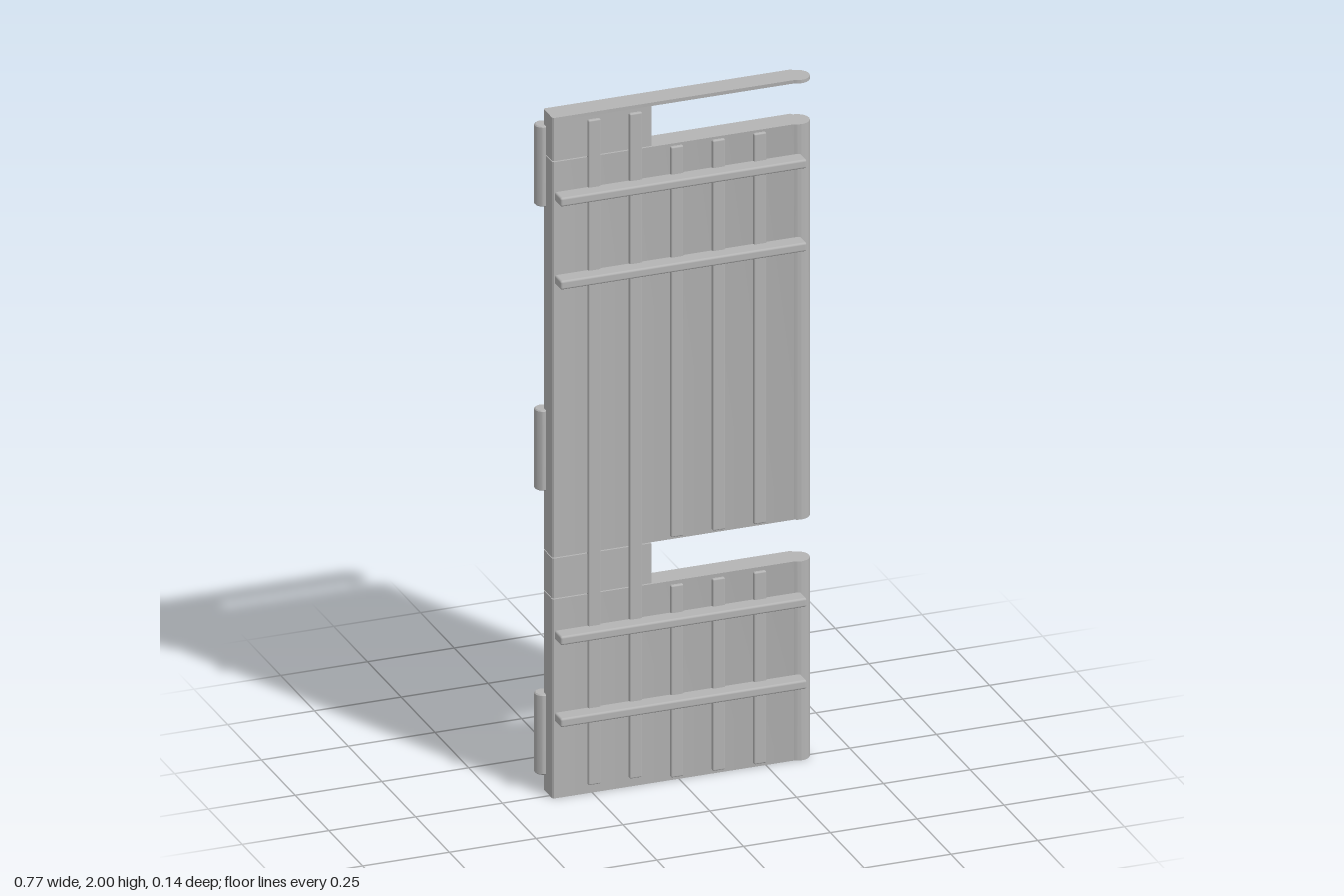
import * as THREE from 'three';
import { toCreasedNormals } from 'three/addons/utils/BufferGeometryUtils.js';
import { RoundedBoxGeometry } from 'three/addons/geometries/RoundedBoxGeometry.js';

const BACK = -0.047, FRONT = 0.022, LEFT = -0.364;

export function createModel() {
  const group = new THREE.Group();
  group.name = 'panelDoor';
  const grey = new THREE.MeshStandardMaterial({ color: 0xb4b4b4 });
  grey.name = 'grey';

  const add = (name, geometry, x = 0, y = 0, z = 0) => {
    const mesh = new THREE.Mesh(geometry, grey);
    mesh.name = name;
    mesh.position.set(x, y, z);
    group.add(mesh);
  };

  // Plan outline (shape y is -z): small chamfers, optional rounded free edge
  const outline = (right, rounded) => {
    const c = 0.004, s = new THREE.Shape();
    s.moveTo(LEFT + c, -FRONT);
    s.lineTo(LEFT, -FRONT + c);
    s.lineTo(LEFT, -BACK - c);
    s.lineTo(LEFT + c, -BACK);
    if (rounded) {
      s.lineTo(0.347, -BACK);
      s.lineTo(0.351, -BACK - c);
      s.absarc(0.351, 0.006, 0.034, Math.PI / 2, -Math.PI * 0.692, true);
    } else {
      s.lineTo(right, -BACK);
      s.lineTo(right, -FRONT);
    }
    s.closePath();
    return s;
  };

  // Upright slab between two heights
  const slab = (name, shape, y0, y1) => {
    const g = new THREE.ExtrudeGeometry(shape, { depth: y1 - y0, bevelEnabled: false, curveSegments: 18 });
    g.rotateX(-Math.PI / 2);
    add(name, toCreasedNormals(g, 0.5), 0, y0, 0);
  };

  // Panels, top cap and the two filler blocks beside the hinges
  const full = outline(0, true), block = outline(-0.08, false);
  slab('lowerPanel', full, 0, 0.585);
  slab('upperPanel', full, 0.708, 1.87);
  slab('topCap', full, 1.99, 2);
  slab('lowerBlock', block, 0.588, 0.705);
  slab('upperBlock', block, 1.873, 1.99);

  // Flat vertical battens with softened front edges
  const batten = (x, y0, y1) => {
    const h = y1 - y0, z0 = FRONT - 0.006, z1 = 0.031;
    add('verticalBatten', new RoundedBoxGeometry(0.036, h, z1 - z0, 2, 0.004),
      x, (y0 + y1) / 2, (z0 + z1) / 2);
  };
  for (const x of [-0.246, -0.127]) batten(x, 0.026, 1.98);
  for (const x of [-0.008, 0.112, 0.231]) {
    batten(x, 0.01, 0.574);
    batten(x, 0.716, 1.863);
  }

  // Horizontal rails standing proud of the front
  for (const y of [0.24, 0.481, 1.526, 1.77]) {
    add('horizontalRail', new RoundedBoxGeometry(0.709, 0.026, 0.05, 3, 0.006), -0.0045, y, 0.045);
  }

  // Hinge barrels on the back corner
  for (const y of [0.168, 1.003, 1.838]) {
    const r = 0.023, c = 0.003, h = 0.118;
    const profile = [[0, -h], [r - c, -h], [r, -h + c], [r, h - c], [r - c, h], [0, h]]
      .map(([px, py]) => new THREE.Vector2(px, py));
    add('hingeBarrel', toCreasedNormals(new THREE.LatheGeometry(profile, 24), 0.5), -0.365, y, -0.049);
  }
  return group;
}
